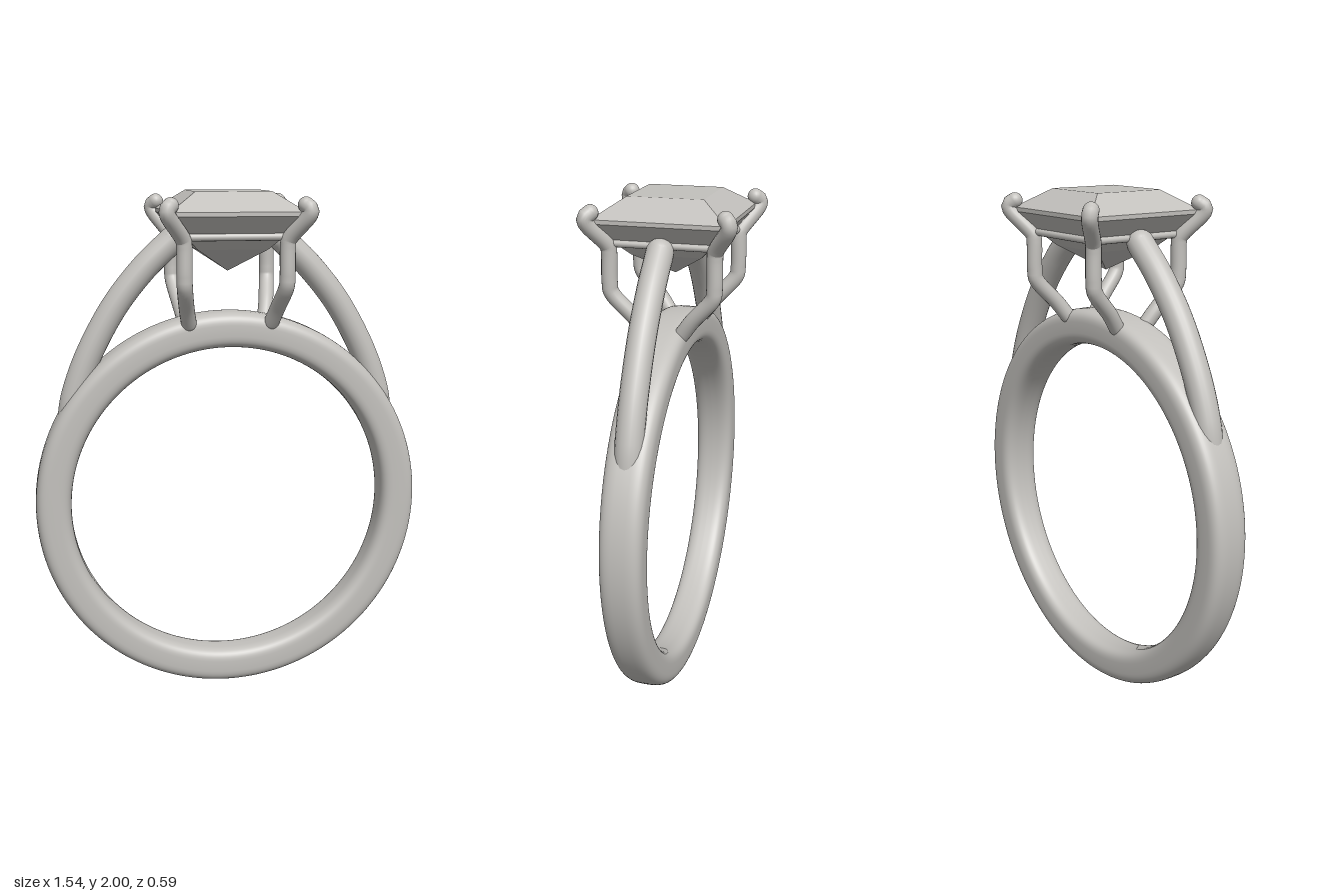
import * as THREE from 'three';

export function createModel() {
  const ring = new THREE.Group();
  ring.name = 'ring';
  const silver = new THREE.MeshStandardMaterial({ color: 0xc2c0bc });
  silver.name = 'silver grey';

  const add = (name, geometry, parent = ring) => {
    const mesh = new THREE.Mesh(geometry, silver);
    mesh.name = name;
    parent.add(mesh);
    return mesh;
  };

  // Round wire with domed ends along a list of points
  const wire = (name, points, radius, tension = 0.5) => {
    const group = new THREE.Group();
    group.name = name;
    const path = new THREE.CatmullRomCurve3(points.map(p => new THREE.Vector3(...p)), false, 'catmullrom', tension);
    add(name + 'Wire', new THREE.TubeGeometry(path, 48, radius, 20), group);
    for (const t of [0, 1]) {
      add(name + 'End', new THREE.SphereGeometry(radius, 20, 14), group).position.copy(path.getPoint(t));
    }
    ring.add(group);
  };

  // Band: soft rectangular section, a little wider towards the top
  const section = [];
  const soften = v => Math.sign(v) * Math.abs(v) ** 0.58;
  for (let i = 0; i <= 48; i++) {
    const a = Math.PI + (i / 48) * Math.PI * 2;
    section.push(new THREE.Vector2(0.7 + 0.07 * soften(Math.cos(a)), 0.08 * soften(Math.sin(a))));
  }
  const band = new THREE.LatheGeometry(section, 128).rotateX(Math.PI / 2);
  const pos = band.attributes.position;
  for (let i = 0; i < pos.count; i++) {
    pos.setZ(i, pos.getZ(i) * (1 + 0.1 * pos.getY(i) / 0.77));
  }
  add('band', band).position.y = 0.77;

  // Square step-cut stone: [half width, height] from the point to the table
  const tiers = [[0, 1.695], [0.135, 1.785], [0.2, 1.85], [0.253, 1.912], [0.253, 1.928], [0.145, 2], [0, 2]];
  const cut = tiers.map(([w, y]) => new THREE.Vector2(w * Math.SQRT2, y));
  const stone = new THREE.LatheGeometry(cut, 4).rotateY(Math.PI / 4).toNonIndexed();
  stone.computeVertexNormals();
  add('stone', stone);

  // Shoulders sweeping from the band up to the setting
  for (const s of [-1, 1]) {
    wire(s > 0 ? 'leftShoulder' : 'rightShoulder',
      [[0.625, 1.1, 0], [0.605, 1.22, 0], [0.545, 1.38, 0], [0.445, 1.56, 0], [0.33, 1.705, 0], [0.215, 1.815, 0]]
        .map(([x, y, z]) => [s * x, y, z]), 0.052);
  }

  // Four claws and the square rail joining them
  const claw = [[0.162, 1.5, 0.07], [0.176, 1.56, 0.115], [0.192, 1.64, 0.188], [0.195, 1.69, 0.2],
    [0.195, 1.8, 0.2], [0.204, 1.835, 0.208], [0.255, 1.905, 0.258], [0.266, 1.935, 0.267], [0.25, 1.953, 0.25]];
  for (const sx of [-1, 1]) {
    for (const sz of [-1, 1]) {
      wire((sz > 0 ? 'front' : 'back') + (sx > 0 ? 'Left' : 'Right') + 'Claw',
        claw.map(([x, y, z]) => [sx * x, y, sz * z]), 0.03);
    }
  }
  for (let i = 0; i < 4; i++) {
    const rail = new THREE.CylinderGeometry(0.014, 0.014, 0.4, 12).rotateZ(Math.PI / 2).translate(0, 1.835, 0.195);
    add('rail', rail.rotateY(i * Math.PI / 2));
  }

  ring.position.z = -0.01;
  const model = new THREE.Group();
  model.name = 'stoneRing';
  model.add(ring);
  return model;
}
